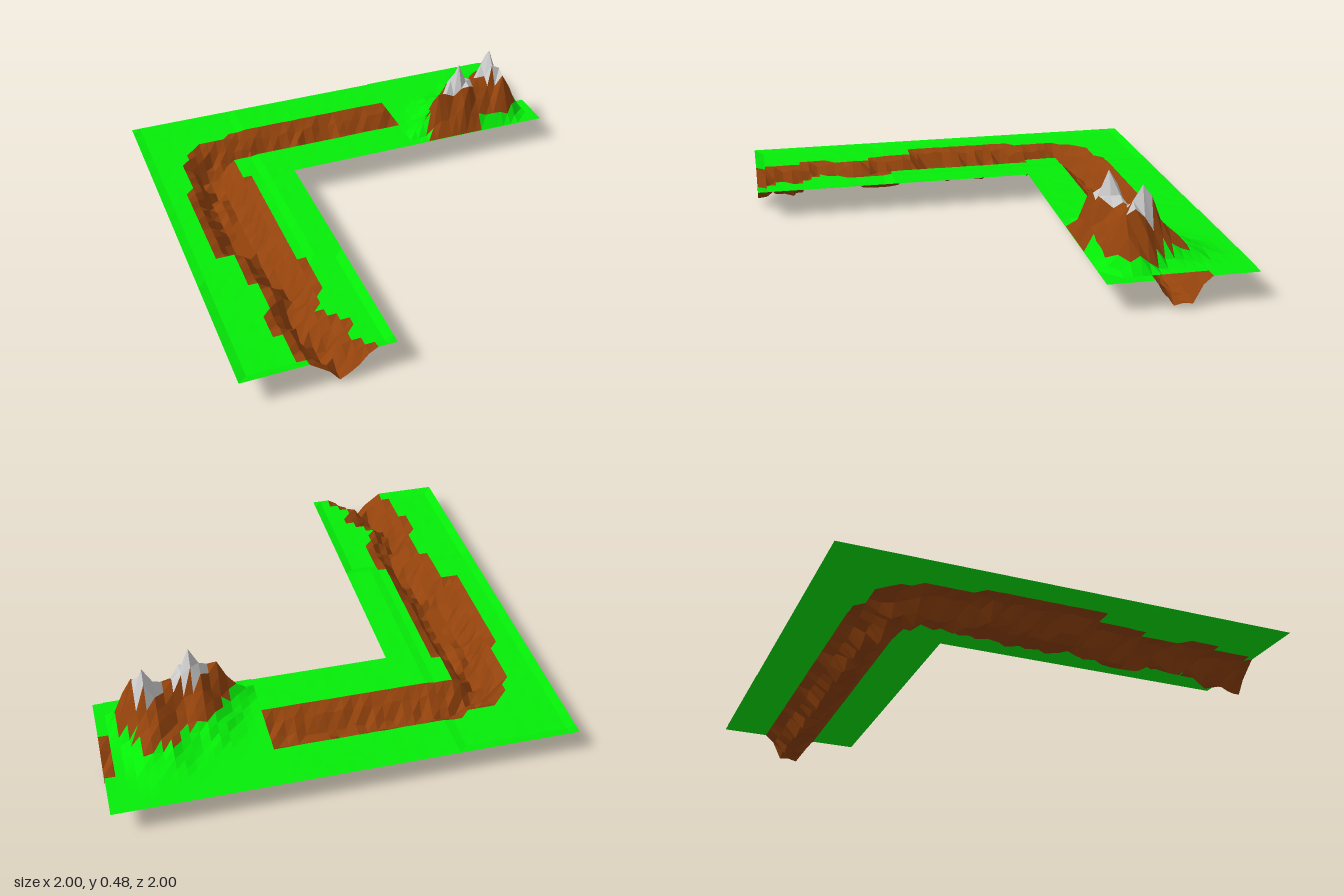
import * as THREE from 'three';

const GROUND = 0.14, INNER = -0.34;

// Seeded hash, 0..1, from a grid position
function noise(x, z) {
  const s = Math.sin(x * 127.1 + z * 311.7) * 43758.5453;
  return s - Math.floor(s);
}

function range(from, to, cells) {
  return Array.from({ length: cells + 1 }, (_, i) => from + (to - from) * i / cells);
}

// Outline of the river bed as [x, z], open past the two ends
const RIVER = [
  [1.2, -0.80], [-0.48, -0.80], [-0.53, -0.77], [-0.71, -0.75], [-0.76, -0.69], [-0.83, -0.6],
  [-0.83, -0.38], [-0.87, -0.33], [-0.86, 0.16], [-0.78, 0.22], [-0.78, 0.40], [-0.72, 0.48],
  [-0.79, 0.67], [-0.75, 0.78], [-0.74, 0.9], [-0.70, 0.97], [-0.69, 1.2], [-0.42, 1.2],
  [-0.42, 1.0], [-0.52, 0.9], [-0.46, 0.8], [-0.58, 0.7], [-0.51, 0.5], [-0.53, 0.4],
  [-0.55, 0.1], [-0.55, -0.33], [-0.59, -0.4], [-0.59, -0.54], [1.2, -0.54],
];

// How far a point lies inside the river outline (0 when outside or on the bank)
function insideRiver(x, z) {
  let inside = false, dist = 9;
  RIVER.forEach(([ax, az], i) => {
    const [bx, bz] = RIVER[(i + 1) % RIVER.length];
    if ((az > z) !== (bz > z) && x < ax + (bx - ax) * (z - az) / (bz - az)) inside = !inside;
    const dx = bx - ax, dz = bz - az;
    const t = THREE.MathUtils.clamp(((x - ax) * dx + (z - az) * dz) / (dx * dx + dz * dz), 0, 1);
    dist = Math.min(dist, Math.hypot(x - ax - dx * t, z - az - dz * t));
  });
  return inside && dist > 0.012 ? dist : 0;
}

// Grass sinks a little inside the rim of the left arm
function grassHeight(x, z) {
  const rim = Math.abs(x) > 0.99 || Math.abs(z) > 0.99 || (x > INNER - 0.01 && z > INNER - 0.01);
  if (rim) return GROUND;
  const sink = z > 0.35 ? 0.011 : x < -0.47 ? 0.006 : 0;
  return GROUND - sink - 0.002 * noise(x, z);
}

function groundHeight(x, z) {
  const d = insideRiver(x, z);
  if (d === 0) return grassHeight(x, z);
  const floor = x < -0.48 && z < -0.35 ? 0 : 0.02;
  const slope = Math.pow(Math.min(1, d / 0.105), 1.25);
  const depth = Math.min(1, slope * (0.75 + 0.6 * noise(x, z)));
  return GROUND - (GROUND - floor) * depth;
}

// Twin peaks joined by a saddle, steep in front and sloping off behind
const PEAK_A = [0.581, -0.464], PEAK_B = [0.789, -0.546];
const EAST = 0.955, WEST = 0.29;

function mountainHeight(x, z) {
  const dx = PEAK_B[0] - PEAK_A[0], dz = PEAK_B[1] - PEAK_A[1];
  const s = THREE.MathUtils.clamp(
    ((x - PEAK_A[0]) * dx + (z - PEAK_A[1]) * dz) / (dx * dx + dz * dz), 0, 1);
  const cx = PEAK_A[0] + dx * s, cz = PEAK_A[1] + dz * s;
  const vx = x - cx, vz = z - cz;
  const r = Math.hypot(vx / (vx < 0 ? cx - WEST : EAST - cx), vz / (vz > 0 ? INNER - cz : 0.46));
  const base = GROUND + 0.003;
  if (r >= 0.999) return base;
  const top = 0.335 - 0.115 * Math.min(1, Math.min(s, 1 - s) * 3);
  const power = 1 + 2 * THREE.MathUtils.clamp(0.3 - vz * 10, 0, 1);
  const rough = 1 + (noise(x, z) - 0.4) * Math.min(0.6, r * 1.2);
  return base + top * Math.pow(1 - r, power) * rough;
}

const COLORS = { grass: 0x05ee08, earth: 0x94430c, snow: 0xcccccc };

// Faceted height grid, split into one mesh per surface kind
function terrain(name, xs, zs, height, kindOf, keep = () => true) {
  const group = new THREE.Group();
  group.name = name;
  const buckets = {};
  const point = (i, j) => [xs[i], height(xs[i], zs[j]), zs[j]];
  for (let i = 0; i < xs.length - 1; i++) {
    for (let j = 0; j < zs.length - 1; j++) {
      if (!keep((xs[i] + xs[i + 1]) / 2, (zs[j] + zs[j + 1]) / 2)) continue;
      const a = point(i, j), b = point(i, j + 1), c = point(i + 1, j + 1), d = point(i + 1, j);
      for (const tri of [[a, b, d], [b, c, d]]) {
        const kind = kindOf(tri);
        (buckets[kind] ??= []).push(...tri.flat());
      }
    }
  }
  for (const [kind, positions] of Object.entries(buckets)) {
    const geometry = new THREE.BufferGeometry();
    geometry.setAttribute('position', new THREE.Float32BufferAttribute(positions, 3));
    geometry.computeVertexNormals();
    const mesh = new THREE.Mesh(geometry, new THREE.MeshStandardMaterial({
      color: COLORS[kind], flatShading: true, side: THREE.DoubleSide,
    }));
    mesh.name = name + kind[0].toUpperCase() + kind.slice(1);
    group.add(mesh);
  }
  return group;
}

const mean = (tri, k) => (tri[0][k] + tri[1][k] + tri[2][k]) / 3;

export function createModel() {
  const model = new THREE.Group();
  model.name = 'riverBendTerrain';

  // L-shaped land with the carved river bed
  const lines = [...range(-1, INNER, 16), ...range(INNER, 1, 30).slice(1)];
  model.add(terrain('land', lines, lines, groundHeight,
    tri => (tri.some(([x, , z]) => insideRiver(x, z) > 0) ? 'earth' : 'grass'),
    (x, z) => x < INNER || z < INNER));

  // Mountain bridging the river
  model.add(terrain('mountain', range(WEST, EAST, 16), range(-1, INNER, 16), mountainHeight, tri => {
    const x = mean(tri, 0), y = mean(tri, 1), z = mean(tri, 2);
    if (y > 0.35) return 'snow';
    const bareFront = z > -0.46 && x > 0.39 && x < 0.66;
    return y > 0.205 || bareFront ? 'earth' : 'grass';
  }));

  return model;
}
